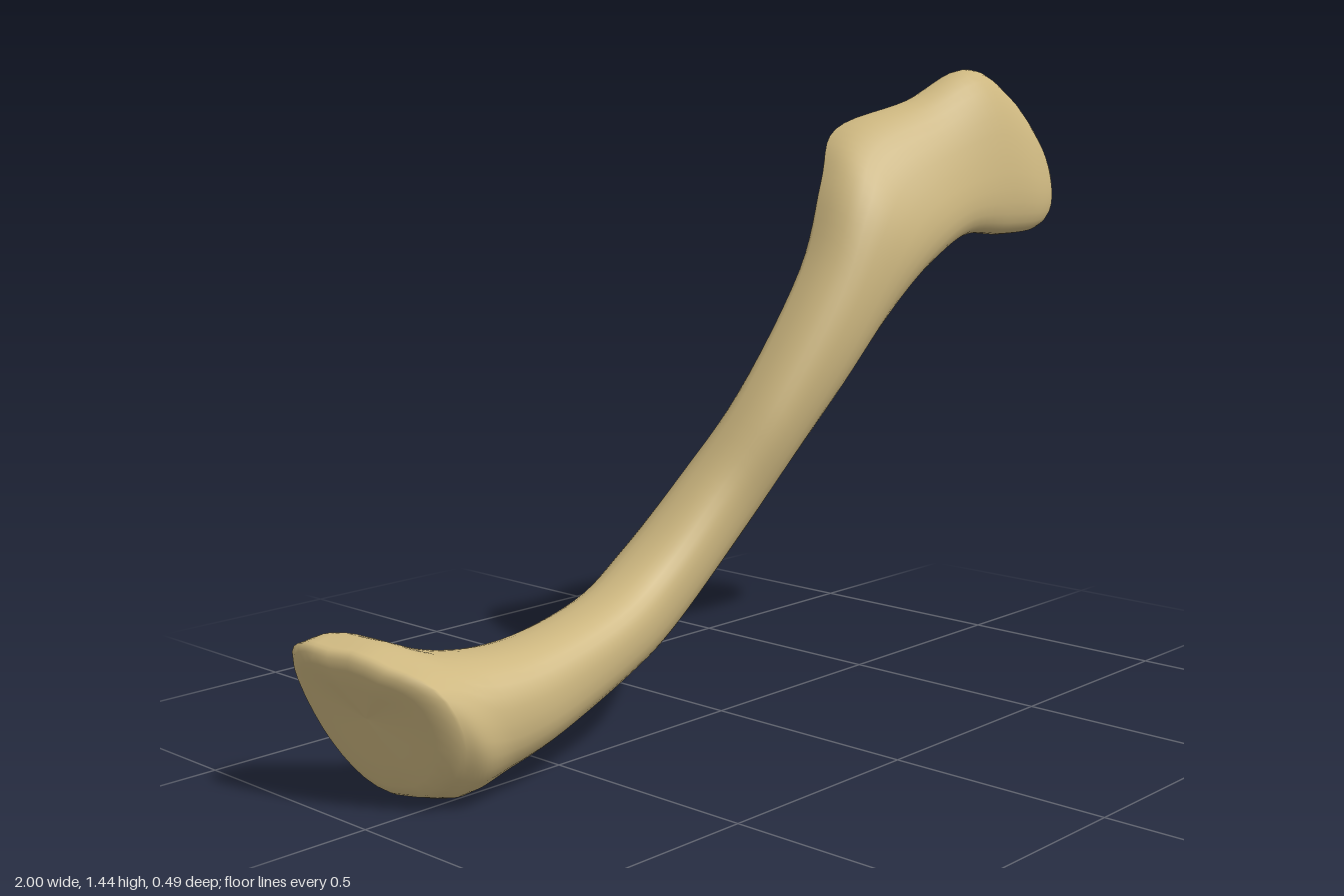
import * as THREE from 'three';

// Stations from the inner end to the outer end:
// upper edge x, y, z | lower edge x, y, z | front z, back z
const STATIONS = [
  [-0.955, 0.325, -0.12, -0.84, 0.012, -0.08, 0.11, -0.24],
  [-0.885, 0.333, -0.14, -0.78, 0.001, -0.07, 0.12, -0.228],
  [-0.79, 0.297, -0.04, -0.68, 0.036, -0.03, 0.12, -0.15],
  [-0.62, 0.29, 0, -0.56, 0.08, 0, 0.118, -0.11],
  [-0.4, 0.335, 0, -0.34, 0.155, -0.02, 0.1, -0.106],
  [-0.24, 0.42, -0.01, -0.2, 0.22, -0.03, 0.086, -0.116],
  [-0.1, 0.56, 0.01, 0, 0.395, -0.01, 0.1, -0.08],
  [0.02, 0.74, 0.06, 0.11, 0.535, 0.02, 0.15, -0.015],
  [0.18, 1.0, 0.085, 0.235, 0.705, 0.075, 0.2, 0.045],
  [0.265, 1.185, 0.065, 0.375, 0.885, 0.13, 0.22, 0.075],
  [0.36, 1.3, 0.025, 0.5, 0.995, 0.165, 0.215, 0.09],
  [0.55, 1.365, 0.085, 0.62, 1.052, 0.19, 0.225, 0.1],
  [0.72, 1.437, 0.12, 0.76, 1.047, 0.2, 0.238, 0.085],
  [0.86, 1.39, 0.115, 0.88, 1.052, 0.2, 0.232, 0.065],
  [0.95, 1.3, 0.14, 0.955, 1.08, 0.195, 0.215, 0.1],
  [0.987, 1.23, 0.165, 0.987, 1.12, 0.185, 0.2, 0.15],
];
const SIDES = 32, STEPS = 90;

// Smooth rail through three chosen columns of the stations
const rail = (a, b, c) => new THREE.CatmullRomCurve3(
  STATIONS.map((s) => new THREE.Vector3(s[a], s[b], s[c])), false, 'catmullrom', 0.5);

// Makes the cross-sections a little fuller than ellipses
const fuller = (v) => Math.sign(v) * Math.abs(v) ** 0.87;

function boneGeometry() {
  const upper = rail(0, 1, 2), lower = rail(3, 4, 5), depth = rail(6, 7, 7);
  const rings = [];

  // Cross-section at t: two half ellipses, front and back of the edge line
  const section = (t) => {
    const up = upper.getPoint(t), low = lower.getPoint(t), d = depth.getPoint(t);
    const mid = up.clone().add(low).multiplyScalar(0.5);
    const half = up.clone().sub(low).multiplyScalar(0.5);
    const skew = Math.max(0, 1 - t * 7); // slants the flared inner end
    const points = [];
    for (let j = 0; j < SIDES; j++) {
      const a = (j / SIDES) * Math.PI * 2, c = fuller(Math.cos(a));
      const p = mid.clone().addScaledVector(half, fuller(Math.sin(a)));
      p.z += c > 0 ? c * (d.x - mid.z) : -c * (d.y - mid.z);
      p.x += 0.25 * skew * p.z;
      p.y += skew * Math.abs(c) * (p.z > 0 ? 0.4 : -0.2) * p.z;
      points.push(p);
    }
    return points;
  };

  // Shrunken copies of an end ring make a rounded cap
  const cap = (ring, scale, push) => {
    const center = ring.reduce((s, p) => s.add(p), new THREE.Vector3()).divideScalar(SIDES);
    return ring.map((p) => p.clone().sub(center).multiplyScalar(scale).add(center).add(push));
  };

  const first = section(0), last = section(1);
  for (const [scale, out] of [[0, 0.016], [0.5, 0.018], [0.8, 0.018], [0.93, 0.011]]) {
    rings.push(cap(first, scale, new THREE.Vector3(-out, -out * 0.4, 0)));
  }
  for (let i = 0; i <= STEPS; i++) rings.push(section(i / STEPS));
  for (const [scale, out] of [[0.85, 0.006], [0.5, 0.012], [0, 0.014]]) {
    rings.push(cap(last, scale, new THREE.Vector3(out, 0, 0)));
  }

  // Join neighbouring rings
  const position = rings.flat().flatMap((p) => [p.x, p.y, p.z]);
  const index = [];
  for (let i = 0; i < rings.length - 1; i++) {
    for (let j = 0; j < SIDES; j++) {
      const k = (j + 1) % SIDES;
      const a = i * SIDES + j, b = a + SIDES, c = i * SIDES + k, d = c + SIDES;
      index.push(a, b, c, c, b, d);
    }
  }
  const geometry = new THREE.BufferGeometry();
  geometry.setAttribute('position', new THREE.Float32BufferAttribute(position, 3));
  geometry.setIndex(index);
  geometry.computeVertexNormals();
  return geometry;
}

export function createModel() {
  const bone = new THREE.MeshStandardMaterial({ color: 0xcdb780 });
  bone.name = 'bone';
  const collarbone = new THREE.Mesh(boneGeometry(), bone);
  collarbone.name = 'collarbone';
  const model = new THREE.Group();
  model.name = 'collarboneModel';
  model.add(collarbone);
  return model;
}
